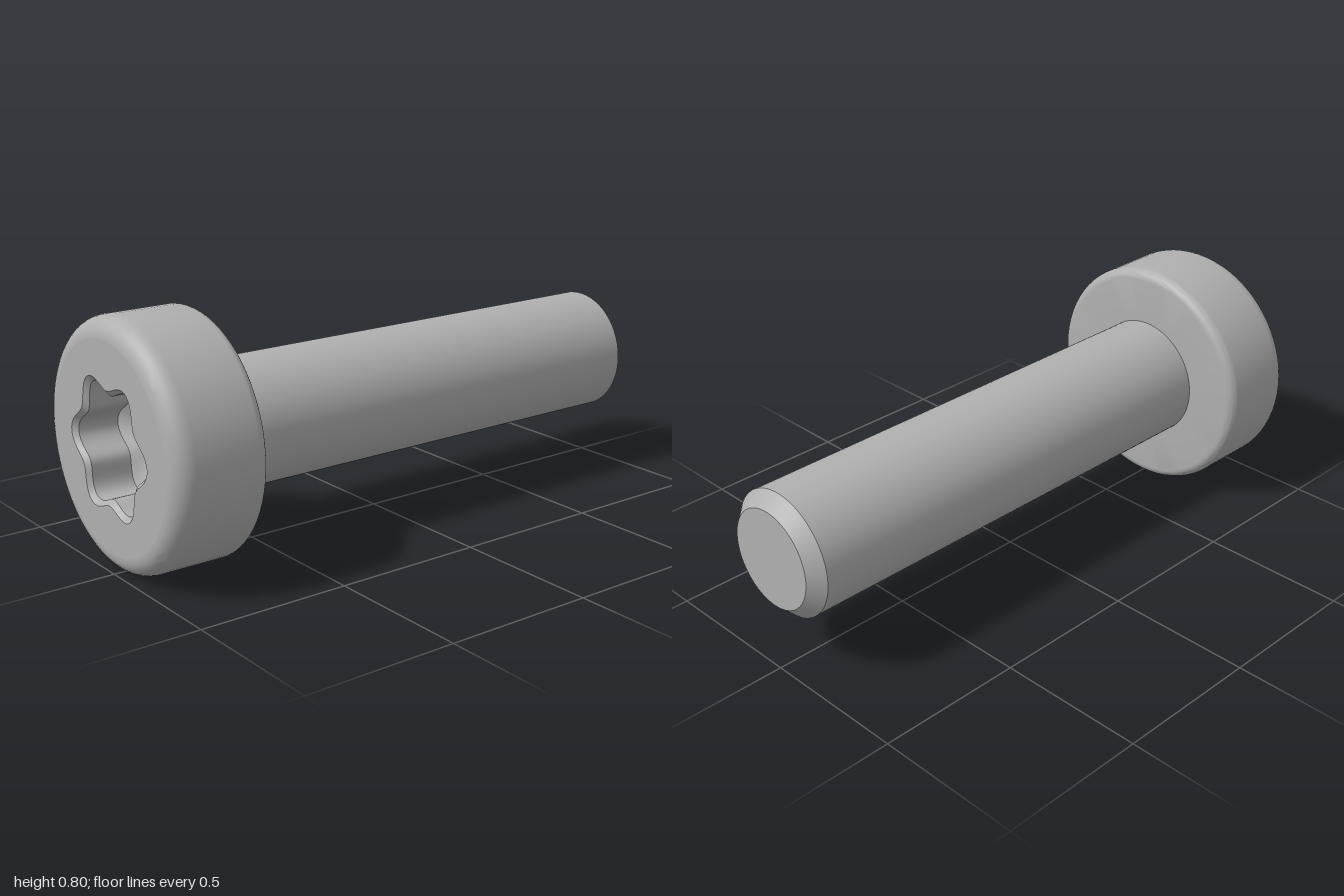
import * as THREE from 'three';
import { toCreasedNormals } from 'three/addons/utils/BufferGeometryUtils.js';

const CREASE = 0.5;
const LOBE_STEPS = 96;

// Quarter-round points for a lathe profile
function fillet(r, y, radius, from) {
  return Array.from({ length: 9 }, (_, i) => {
    const a = from + (i / 8) * Math.PI / 2;
    return new THREE.Vector2(r + radius * Math.cos(a), y + radius * Math.sin(a));
  });
}

// Solid of revolution about the z axis
function turned(points) {
  const geo = new THREE.LatheGeometry(points, 72).rotateX(Math.PI / 2);
  return toCreasedNormals(geo, CREASE);
}

// Six-lobed outline, shrunk by an inset
function lobePoint(i, inset) {
  const a = (i / LOBE_STEPS) * Math.PI * 2;
  const r = 0.206 + 0.0245 * Math.cos(6 * (a + 0.03)) - inset;
  return new THREE.Vector2(r * Math.cos(a), r * Math.sin(a));
}

// Chamfer, walls and shallow conical floor of the drive socket
function socketGeometry() {
  const rings = [[1, 0], [0.985, 0.018], [0.85, 0.018]];
  const pos = [];
  const put = (i, [z, inset]) => {
    const p = lobePoint(i, inset);
    pos.push(p.x, p.y, z);
  };
  for (let i = 0; i < LOBE_STEPS; i++) {
    for (let k = 0; k < rings.length - 1; k++) {
      const a = rings[k], b = rings[k + 1];
      put(i, a); put(i + 1, b); put(i, b);
      put(i, a); put(i + 1, a); put(i + 1, b);
    }
    put(i, rings[2]); put(i + 1, rings[2]);
    pos.push(0, 0, 0.78);
  }
  const geo = new THREE.BufferGeometry();
  geo.setAttribute('position', new THREE.Float32BufferAttribute(pos, 3));
  geo.computeVertexNormals();
  return toCreasedNormals(geo, CREASE);
}

export function createModel() {
  const steel = new THREE.MeshStandardMaterial({ color: 0xb0b0b0 });
  steel.name = 'steel grey';
  const screw = new THREE.Group();
  screw.name = 'screw';
  const add = (name, geo) => {
    const mesh = new THREE.Mesh(geo, steel);
    mesh.name = name;
    screw.add(mesh);
  };
  const v = (x, y) => new THREE.Vector2(x, y);

  // Shank with chamfered tip
  add('shank', turned([v(0, -1), v(0.165, -1), v(0.21, -0.955), v(0.21, 0.69)]));

  // Cylindrical head with rounded rims
  add('head', turned([
    v(0.21, 0.688),
    ...fillet(0.365, 0.723, 0.035, -Math.PI / 2),
    ...fillet(0.335, 0.935, 0.065, 0),
  ]));

  // Flat front face around the socket
  const face = new THREE.Shape();
  face.setFromPoints(Array.from({ length: 72 }, (_, i) => {
    const a = (i / 72) * Math.PI * 2;
    return v(0.335 * Math.cos(a), 0.335 * Math.sin(a));
  }));
  face.holes.push(new THREE.Path(Array.from({ length: LOBE_STEPS }, (_, i) => lobePoint(i, 0))));
  add('headFace', new THREE.ShapeGeometry(face).translate(0, 0, 1));

  add('driveSocket', socketGeometry());

  screw.position.y = 0.4;
  const model = new THREE.Group();
  model.add(screw);
  return model;
}
